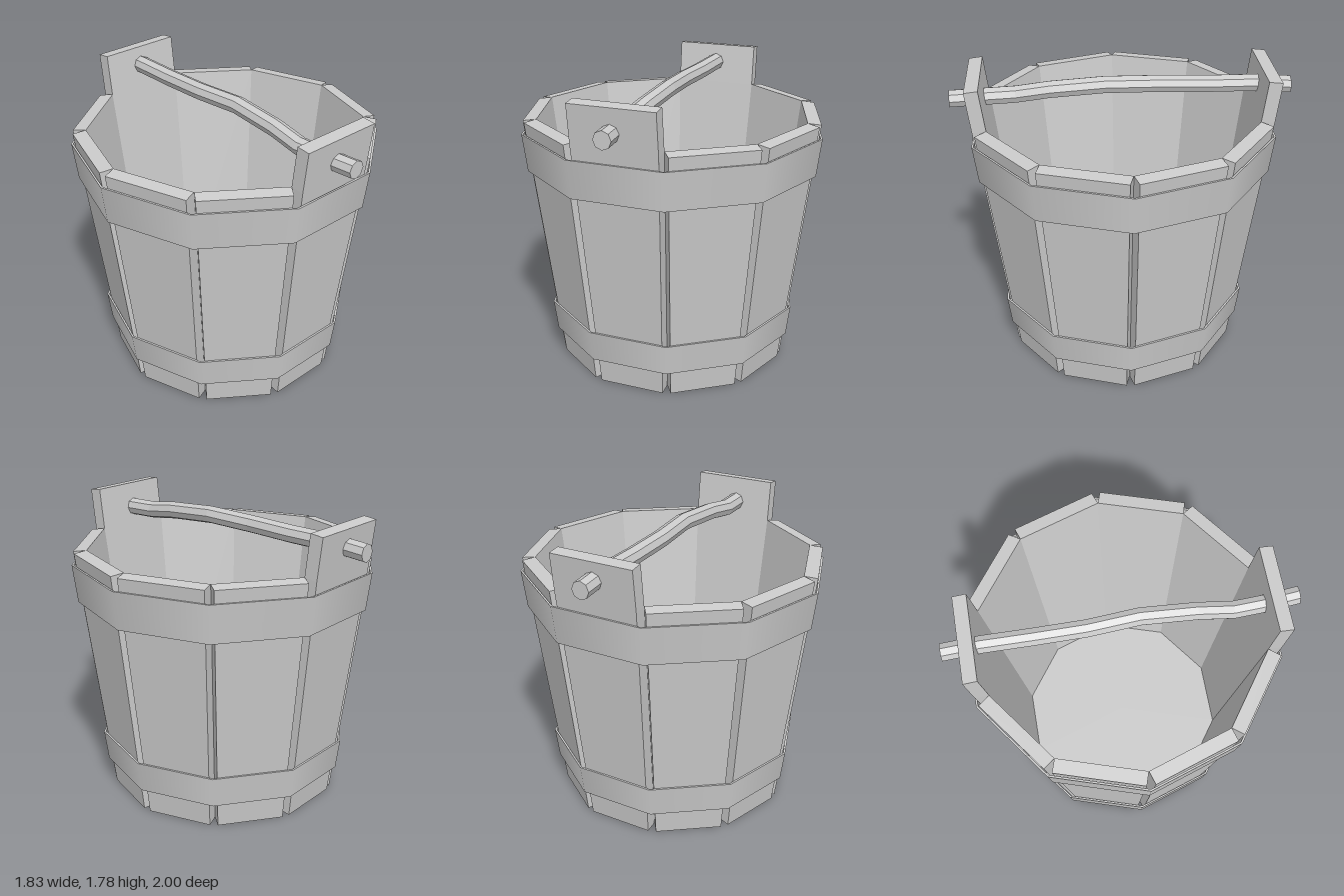
import * as THREE from 'three';
import { mergeGeometries } from 'three/addons/utils/BufferGeometryUtils.js';

const SIDES = 10;
const STEP = (Math.PI * 2) / SIDES;
const THICK = 0.08;
const flat = new THREE.MeshStandardMaterial({ color: 0xcccccc, flatShading: true });
const smooth = new THREE.MeshStandardMaterial({ color: 0xcccccc });

// Distance from the axis to the inner face, and the width that closes the ring there
const innerAt = (y) => 0.608 + 0.116 * y;
const halfWidthAt = (y) => Math.min(innerAt(y) * Math.tan(STEP / 2) + 0.001, 0.255);

function add(parent, name, geometry, material) {
  const mesh = new THREE.Mesh(geometry, material);
  mesh.name = name;
  parent.add(mesh);
  return mesh;
}

// Plank leaning outwards, widening until the rim; levels are its section heights
function staveGeometry(levels) {
  const n = levels.length - 1;
  const g = new THREE.BoxGeometry(2, n, 2, 1, n, 1);
  const p = g.attributes.position;
  for (let i = 0; i < p.count; i++) {
    const y = levels[Math.round(p.getY(i) + n / 2)];
    const outer = p.getZ(i) > 0;
    const lift = outer ? 0 : 0.009; // ends cut square to the lean
    p.setXYZ(i, Math.sign(p.getX(i)) * halfWidthAt(y), y + lift, innerAt(y) + (outer ? THICK : 0));
  }
  g.computeVertexNormals();
  return g;
}

// Thin ten-sided hoop, smooth around, with sharp rims: one lathe per wall
function hoopGeometry(y0, r0, y1, r1) {
  const t = 0.012;
  const profile = [[r0, y0], [r1, y1], [r1 - t, y1], [r0 - t, y0], [r0, y0]]
    .map(([r, y]) => new THREE.Vector2(r, y));
  const walls = [0, 1, 2, 3].map((i) => new THREE.LatheGeometry(profile.slice(i, i + 2), SIDES, STEP / 2));
  return mergeGeometries(walls);
}

// Crooked stick: each ring of a cylinder is moved to a point [x, y, z], back to front
function handleGeometry(path, radius) {
  const n = path.length - 1;
  const g = new THREE.CylinderGeometry(radius, radius, n, 8, n);
  g.rotateX(Math.PI / 2);
  const p = g.attributes.position;
  for (let i = 0; i < p.count; i++) {
    const [x, y, z] = path[Math.round(p.getZ(i) + n / 2)];
    p.setXYZ(i, p.getX(i) + x, p.getY(i) + y, z);
  }
  g.computeVertexNormals();
  return g;
}

export function createModel() {
  const bucket = new THREE.Group();
  bucket.name = 'bucket';

  // Staves; the front and back ones rise into ears that hold the handle
  const staves = new THREE.Group();
  staves.name = 'staves';
  bucket.add(staves);
  const plain = staveGeometry([0, 1.525]);
  const eared = staveGeometry([0, 1.525, 1.77]);
  for (let i = 0; i < SIDES; i++) {
    const hasEar = i % (SIDES / 2) === 0;
    const stave = add(staves, hasEar ? 'earedStave' : 'stave', hasEar ? eared : plain, flat);
    stave.rotation.y = i * STEP;
  }

  // Bottom board
  const floor = new THREE.CylinderGeometry(0.648, 0.648, 0.07, SIDES, 1, false, STEP / 2);
  add(bucket, 'floor', floor, flat).position.y = 0.045;

  // Hoops
  add(bucket, 'upperHoop', hoopGeometry(1.22, 0.89, 1.45, 0.917), smooth);
  add(bucket, 'lowerHoop', hoopGeometry(0.155, 0.757, 0.345, 0.78), smooth);

  // Handle
  const path = [
    [-0.007, 1.65, -1], [-0.005, 1.667, -0.78], [-0.01, 1.667, -0.5], [-0.015, 1.675, -0.2],
    [0, 1.685, 0.1], [-0.012, 1.66, 0.42], [-0.027, 1.63, 0.62], [-0.02, 1.627, 0.78],
    [0, 1.627, 1],
  ];
  add(bucket, 'handle', handleGeometry(path, 0.053), flat);

  return bucket;
}
